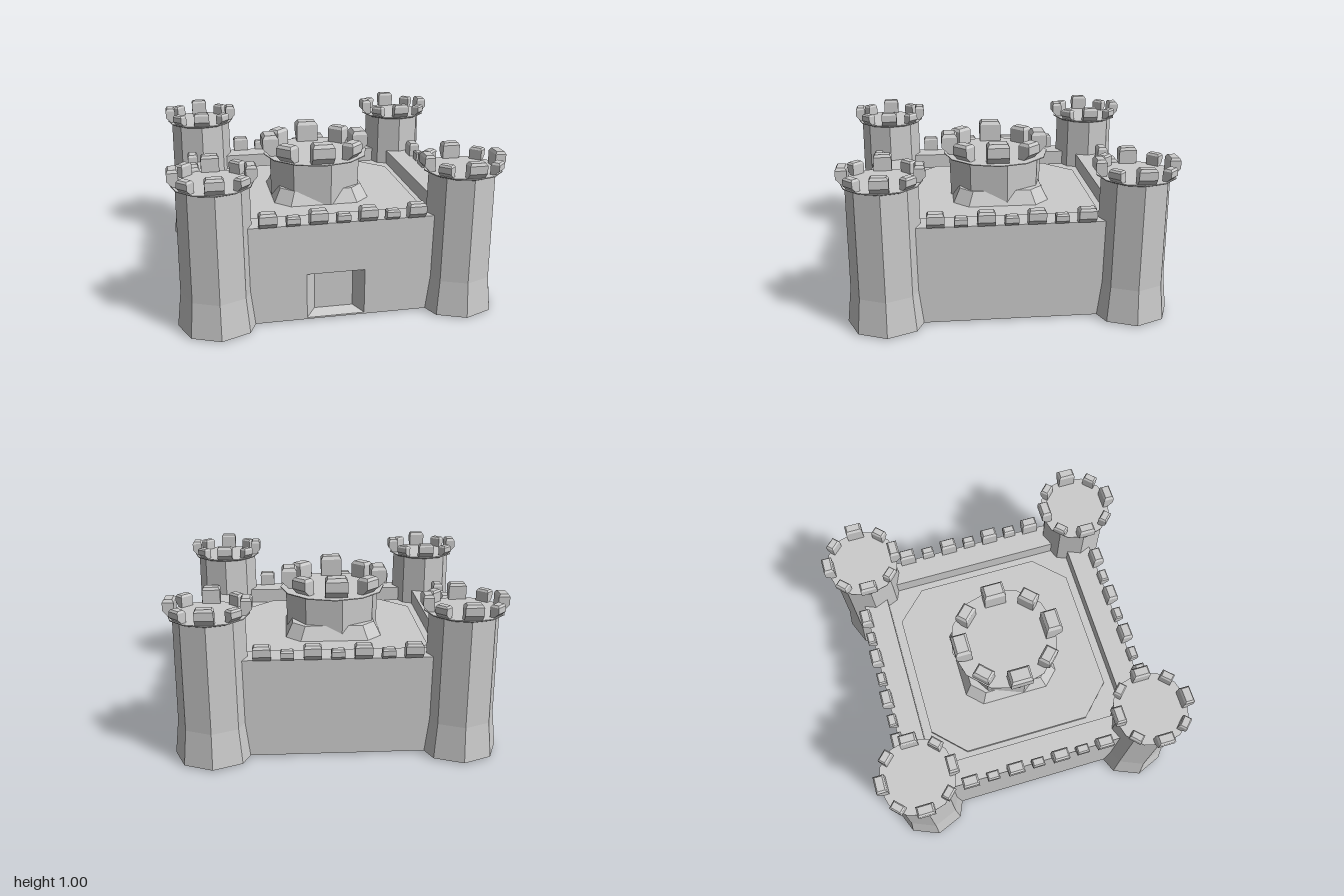
import * as THREE from 'three';

const stone = new THREE.MeshStandardMaterial({ color: 0xcccccc, flatShading: true });

function add(parent, name, geometry, x = 0, y = 0, z = 0) {
  const mesh = new THREE.Mesh(geometry, stone);
  mesh.name = name;
  mesh.position.set(x, y, z);
  parent.add(mesh);
  return mesh;
}

// Box standing on y0
function block(parent, name, w, y0, y1, d, x = 0, z = 0) {
  return add(parent, name, new THREE.BoxGeometry(w, y1 - y0, d), x, (y0 + y1) / 2, z);
}

// Closed faceted solid from [radius, y] pairs, bottom to top
function turned(profile, sides) {
  return new THREE.LatheGeometry(profile.map(([r, y]) => new THREE.Vector2(r, y)), sides);
}

// Merlon on y = 0 facing +z: bevelled top, outer face cut back at the foot
function merlonGeometry(w, h, d) {
  const g = new THREE.BoxGeometry(w, h, d, 1, 3, 1);
  const p = g.attributes.position;
  const levels = [0, 0.36, 0.84, 1];
  for (let i = 0; i < p.count; i++) {
    const row = Math.round((p.getY(i) / h + 0.5) * 3);
    let x = p.getX(i), z = p.getZ(i);
    if (row === 3) {
      x -= Math.sign(x) * w * 0.1;
      z -= Math.sign(z) * d * 0.15;
    }
    if (row === 0 && z > 0) z -= d * 0.5;
    p.setXYZ(i, x, levels[row] * h, z);
  }
  return g;
}

// Eight merlons around a round top, large on the axes and small between
function merlonRing(parent, radius, y, big, small) {
  for (let i = 0; i < 8; i++) {
    const a = (i * Math.PI) / 4;
    const g = merlonGeometry(...(i % 2 ? small : big));
    const m = add(parent, 'merlon', g, Math.sin(a) * radius, y, Math.cos(a) * radius);
    m.rotation.y = a;
  }
}

// Upright prism over a square with cut corners; the top may be scaled in
function cutSquare(half, flat, height, topScale = 1) {
  const s = new THREE.Shape();
  s.setFromPoints([[half, -flat], [half, flat], [flat, half], [-flat, half],
    [-half, flat], [-half, -flat], [-flat, -half], [flat, -half]]
    .map(([x, y]) => new THREE.Vector2(x, y)));
  const g = new THREE.ExtrudeGeometry(s, { depth: height, bevelEnabled: false });
  g.rotateX(-Math.PI / 2);
  const p = g.attributes.position;
  for (let i = 0; i < p.count; i++) {
    if (p.getY(i) > height / 2) p.setXYZ(i, p.getX(i) * topScale, p.getY(i), p.getZ(i) * topScale);
  }
  return g;
}

// Front wall skin with a gateway that narrows towards the back
function gateWall(width, y0, y1, depth) {
  const s = new THREE.Shape();
  s.moveTo(-width / 2, y0);
  s.lineTo(width / 2, y0);
  s.lineTo(width / 2, y1);
  s.lineTo(-width / 2, y1);
  const hole = new THREE.Path();
  hole.moveTo(-0.217, 0.02);
  hole.lineTo(-0.217, 0.31);
  hole.lineTo(0.14, 0.31);
  hole.lineTo(0.14, 0.02);
  s.holes.push(hole);
  const g = new THREE.ExtrudeGeometry(s, { depth, bevelEnabled: false });
  const p = g.attributes.position;
  for (let i = 0; i < p.count; i++) {
    const x = p.getX(i), y = p.getY(i);
    if (p.getZ(i) < depth / 2 && Math.abs(x) < 0.3) {
      p.setXYZ(i, x < 0 ? -0.16 : 0.08, y < 0.1 ? 0.045 : 0.293, p.getZ(i));
    }
  }
  return g;
}

export function createModel() {
  const castle = new THREE.Group();
  castle.name = 'castle';
  const OUT = 0.82, IN = 0.66, Y0 = 0.01, TOP = 0.63, LEN = 1.5;

  // Ground slab and courtyard
  block(castle, 'baseSlab', 1.38, 0, Y0, 1.38);
  block(castle, 'courtyardFloor', IN * 2, Y0, 0.53, IN * 2);
  add(castle, 'courtyardPlatform', cutSquare(0.605, 0.41, 0.025), 0, 0.53, 0);

  // Curtain walls, each with seven alternating merlons
  for (let i = 0; i < 4; i++) {
    const side = new THREE.Group();
    side.name = ['frontWall', 'leftWall', 'backWall', 'rightWall'][i];
    side.rotation.y = (i * Math.PI) / 2;
    castle.add(side);
    if (i === 0) {
      add(side, 'gateWall', gateWall(LEN, Y0, TOP, 0.07), 0, 0, OUT - 0.07);
      block(side, 'wallBacking', LEN, Y0, TOP, 0.09, 0, IN + 0.045);
    } else {
      block(side, 'wall', LEN, Y0, TOP, OUT - IN, 0, (OUT + IN) / 2);
    }
    for (let k = -3; k <= 3; k++) {
      const size = k % 2 ? [0.105, 0.095, 0.07] : [0.08, 0.065, 0.055];
      add(side, 'merlon', merlonGeometry(...size), k * 0.149, TOP, 0.828);
    }
  }

  // Corner towers with flared feet and projecting caps
  for (const sx of [-1, 1]) {
    for (const sz of [-1, 1]) {
      const tower = new THREE.Group();
      tower.name = 'cornerTower';
      tower.position.set(sx * 0.747, 0, sz * 0.747);
      castle.add(tower);
      add(tower, 'towerBody',
        turned([[0, Y0], [0.245, Y0], [0.219, 0.23], [0.211, 0.89], [0, 0.89]], 8));
      add(tower, 'towerCap',
        turned([[0, 0.885], [0.212, 0.885], [0.238, 0.896], [0.238, 0.902], [0, 0.902]], 12));
      merlonRing(tower, 0.22, 0.9, [0.107, 0.1, 0.066], [0.08, 0.075, 0.055]);
    }
  }

  // Central keep
  const keep = new THREE.Group();
  keep.name = 'keep';
  keep.position.set(-0.015, 0, 0.015);
  castle.add(keep);
  add(keep, 'keepFoot', cutSquare(0.315, 0.22, 0.09, 0.86), 0.005, 0.555, -0.015);
  const body = add(keep, 'keepBody',
    turned([[0, 0.555], [0.313, 0.555], [0.32, 0.83], [0, 0.83]], 8));
  body.rotation.y = 0.15;
  add(keep, 'keepCap',
    turned([[0, 0.822], [0.318, 0.822], [0.352, 0.832], [0.352, 0.838], [0, 0.838]], 12));
  const crown = new THREE.Group();
  crown.name = 'keepCrown';
  crown.position.set(-0.01, 0, 0.012);
  keep.add(crown);
  merlonRing(crown, 0.302, 0.835, [0.145, 0.14, 0.105], [0.115, 0.115, 0.085]);

  return castle;
}
